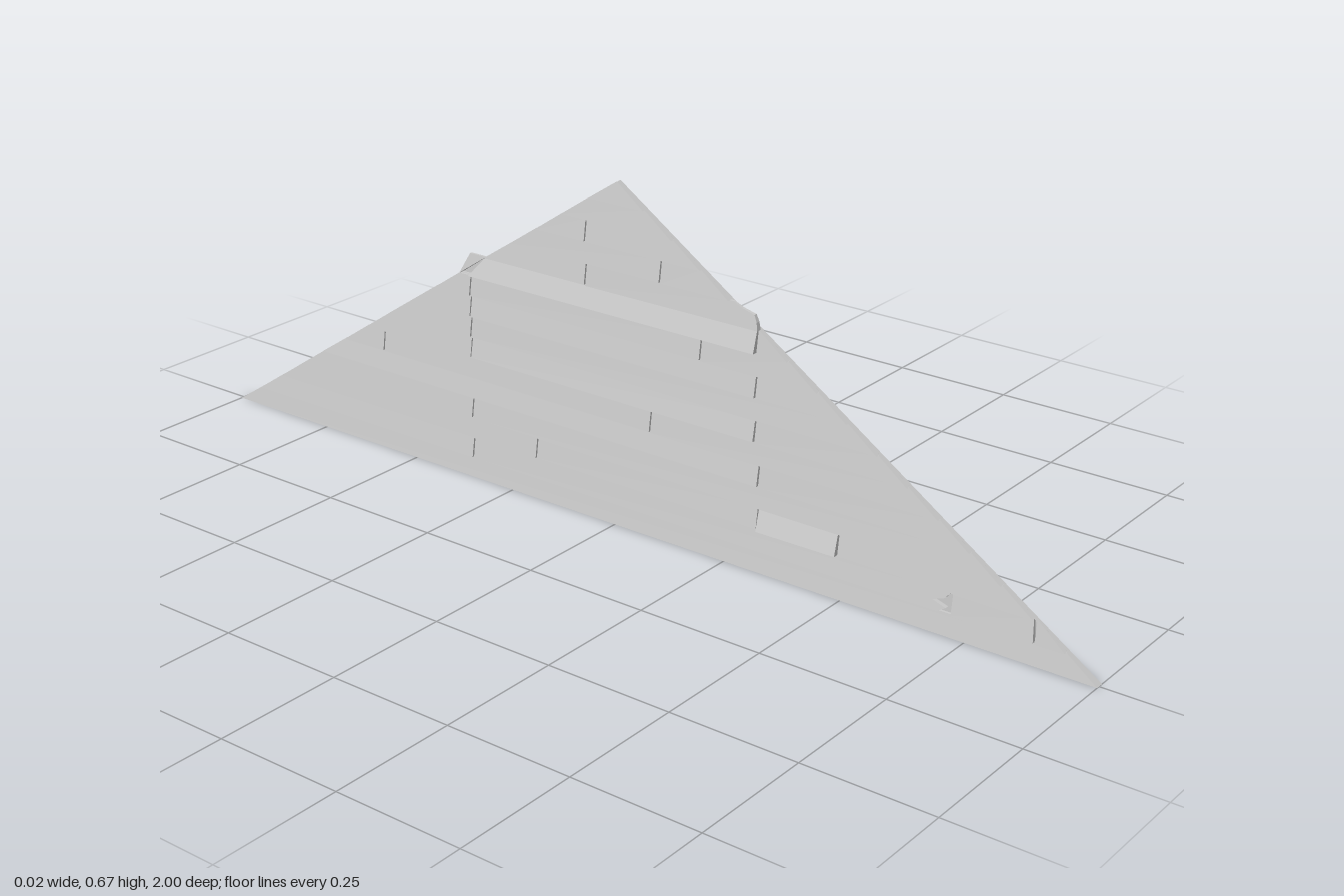
import * as THREE from 'three';

const H = 0.667;          // gable height
const ROWS = 16;
const PITCH = H / ROWS;
const GAP = 0.0015;       // half width of a butt joint
const half = (y) => Math.max(0, 1 - y / H); // half width of the gable at height y

// Butt joints along z for each row, from the bottom up
const JOINTS = [
  [], [-0.35, 0.72, 0.88], [-0.19, 0.32, 0.49], [-0.35], [0.32], [-0.58, 0.08],
  [-0.35, 0.31], [-0.35], [-0.35, 0.31], [-0.35, 0.19], [-0.35, 0.31], [-0.07],
  [0.1], [-0.07], [], [],
];
// Extra lift of loose boards, keyed by row and piece
const LIFT = { '2,2': 0.005, '6,1': 0.0015, '8,1': 0.001, '10,1': 0.0055, '4,0': 0.001, '1,0': 0.0006 };
// Broken +z ends, as [z offset, fraction of board height]
const CHIPPED = {
  '1,1': [[-0.025, 0], [-0.008, 0.25], [-0.035, 0.45], [-0.012, 0.65], [0, 1]],
  '11,1': [[0, 0], [-0.003, 0.35], [-0.009, 0.65], [-0.035, 0.8], [-0.055, 1]],
};

function createModel() {
  const group = new THREE.Group();
  group.name = 'gableWall';
  const material = new THREE.MeshStandardMaterial({ color: 0xcccccc, flatShading: true });

  // Extrude an outline of [z, y] points from x = front towards -x
  function slab(points, front, depth) {
    const shape = new THREE.Shape(points.map(([z, y]) => new THREE.Vector2(z, y)));
    const geometry = new THREE.ExtrudeGeometry(shape, { depth, bevelEnabled: false });
    geometry.rotateY(-Math.PI / 2);
    geometry.translate(front, 0, 0);
    return geometry;
  }

  function add(geometry, name, parent) {
    const mesh = new THREE.Mesh(geometry, material);
    mesh.name = name;
    parent.add(mesh);
  }

  // Flat triangular backing
  add(slab([[-1, 0], [1, 0], [0, H]], 0.0105, 0.0065), 'backing', group);

  // Overlapping clapboards, each thicker at its bottom edge
  const siding = new THREE.Group();
  siding.name = 'siding';
  group.add(siding);
  for (let row = 0; row < ROWS; row++) {
    const y0 = row * PITCH;
    const y1 = Math.min(y0 + PITCH, H - 0.001);
    const cuts = [-2, ...JOINTS[row], 2];
    for (let i = 0; i < cuts.length - 1; i++) {
      const key = `${row},${i}`;
      const a = cuts[i] + GAP;
      const b = cuts[i + 1] - GAP;
      const lift = LIFT[key] || 0;
      const sag = row ? 0.0015 * Math.abs(Math.sin(row * 2.3 + i * 1.7)) : 0;
      const left = (y) => Math.max(a, -half(y));
      const right = (y) => Math.min(b, half(y));
      const end = CHIPPED[key]
        ? CHIPPED[key].map(([dz, t]) => [right(y0) + dz, y0 + (y1 - y0) * t])
        : [[right(y0), y0 - sag * 0.3], [right(y1), y1]];
      const outline = [[left(y0), y0 - sag], ...end, [left(y1), y1]];
      const geometry = slab(outline, 0.004, 0.0045);
      const p = geometry.attributes.position;
      for (let k = 0; k < p.count; k++) {
        if (p.getX(k) > 0.002) continue; // the back stays flat on the backing
        const down = Math.min(1, (y1 - p.getY(k)) / PITCH);
        p.setX(k, p.getX(k) - (0.006 + lift) * down);
      }
      geometry.computeVertexNormals();
      add(geometry, 'clapboard', siding);
    }
  }
  return group;
}

export { createModel };
